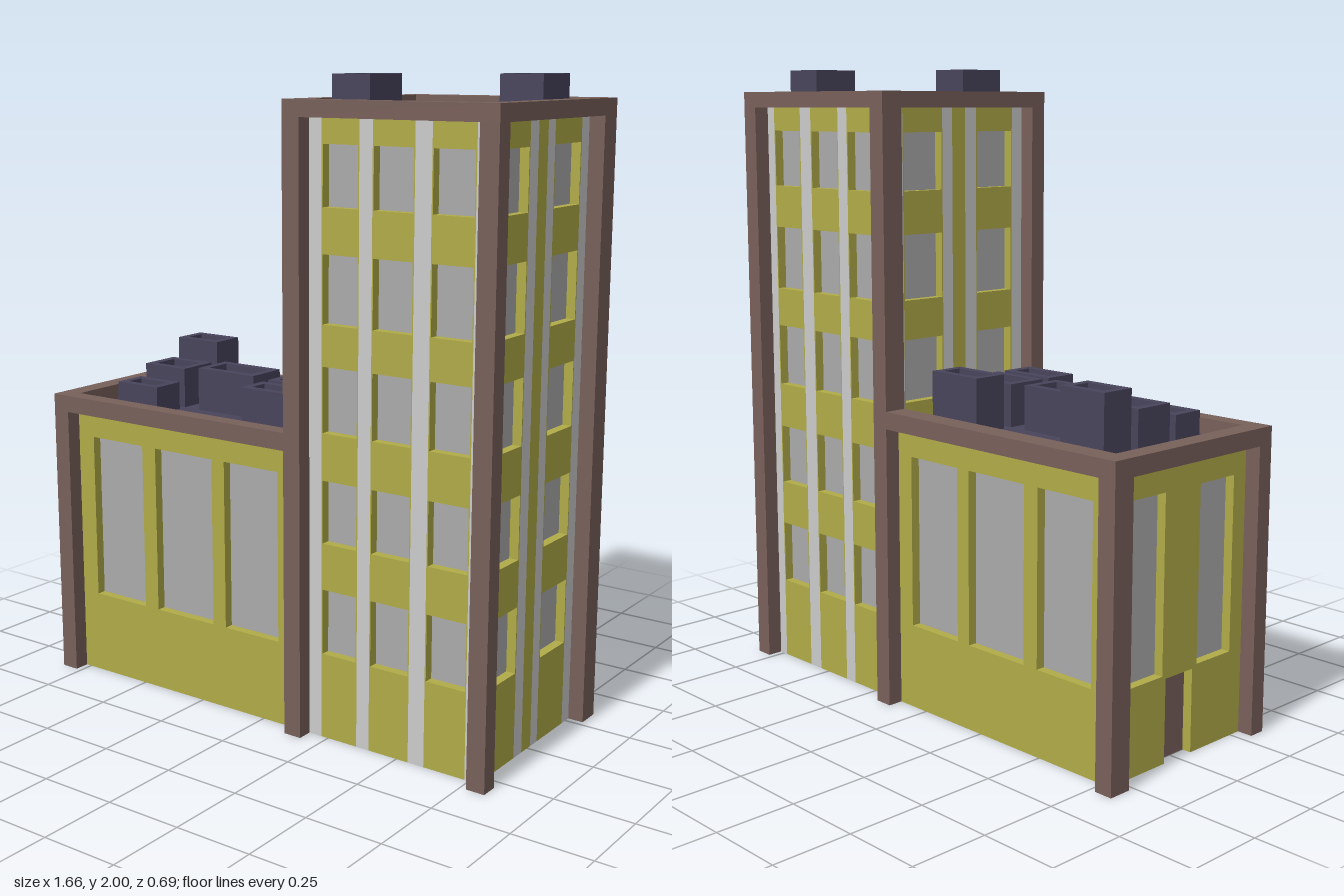
import * as THREE from 'three';

const paint = (color, side = THREE.FrontSide) =>
  new THREE.MeshStandardMaterial({ color, side, flatShading: true });

export function createModel() {
  const yellow = paint(0xb0ab48), brown = paint(0x78605a), slate = paint(0x48445c);
  const pale = paint(0xcccccc), glass = paint(0xaaaaaa, THREE.DoubleSide);
  const doorMat = paint(0x78605a, THREE.DoubleSide);
  const RECESS = 0.03;
  const model = new THREE.Group();
  model.name = 'building';

  function box(parent, name, mat, x0, x1, y0, y1, z0, z1) {
    const m = new THREE.Mesh(new THREE.BoxGeometry(x1 - x0, y1 - y0, z1 - z0), mat);
    m.position.set((x0 + x1) / 2, (y0 + y1) / 2, (z0 + z1) / 2);
    m.name = name;
    parent.add(m);
    return m;
  }

  const outline = (T, a0, a1, b0, b1) => new T([
    new THREE.Vector2(a0, b0), new THREE.Vector2(a1, b0),
    new THREE.Vector2(a1, b1), new THREE.Vector2(a0, b1)]);

  function pane(parent, name, mat, u0, u1, y0, y1) {
    const m = new THREE.Mesh(new THREE.PlaneGeometry(u1 - u0, y1 - y0), mat);
    m.position.set((u0 + u1) / 2, (y0 + y1) / 2, -RECESS);
    m.name = name;
    parent.add(m);
  }

  // Flat wall panel facing +z with recessed windows [u0, u1, y0, y1]
  function panel(parent, mat, u0, u1, y0, y1, windows = []) {
    const shape = outline(THREE.Shape, u0, u1, y0, y1);
    for (const w of windows) {
      shape.holes.push(outline(THREE.Path, ...w));
      pane(parent, 'window', glass, ...w);
    }
    const geo = new THREE.ExtrudeGeometry(shape, { depth: RECESS, bevelEnabled: false });
    geo.translate(0, 0, -RECESS);
    const m = new THREE.Mesh(geo, mat);
    m.name = 'wallPanel';
    parent.add(m);
  }

  function wallGroup(name, x, z, angle) {
    const g = new THREE.Group();
    g.name = name;
    g.position.set(x, 0, z);
    g.rotation.y = angle;
    model.add(g);
    return g;
  }

  // Tower walls: vertical bands alternate pale and yellow; wide yellow bands hold windows
  const rows = [[0.27, 0.475], [0.62, 0.815], [0.96, 1.16], [1.285, 1.49], [1.625, 1.805]];
  function bandedWall(g, edges, flip, y0, inset = 0.004) {
    for (let i = 0; i < edges.length - 1; i++) {
      let [a, b] = [edges[i], edges[i + 1]];
      if (flip) [a, b] = [-b, -a];
      const isYellow = i % 2 === 1;
      const holes = isYellow && b - a > 0.1
        ? rows.filter(r => r[0] > y0).map(r => [a + inset, b - inset, ...r]) : [];
      panel(g, isYellow ? yellow : pale, a, b, y0, 1.885, holes);
    }
  }
  const frontBands = [0.18, 0.225, 0.355, 0.40, 0.54, 0.595, 0.735, 0.77];
  const sideBands = [-0.27, -0.224, -0.06, -0.018, 0.037, 0.085, 0.245, 0.29];
  bandedWall(wallGroup('towerFrontWall', 0, 0.295, 0), frontBands, false, 0);
  bandedWall(wallGroup('towerBackWall', 0, -0.295, Math.PI), frontBands, true, 0);
  bandedWall(wallGroup('towerLeftWall', 0.78, 0, Math.PI / 2), sideBands, true, 0);
  bandedWall(wallGroup('towerRightWall', 0.17, 0, -Math.PI / 2), sideBands, false, 0.9);

  // Low wing walls with tall windows
  const tall = [[-0.705, -0.49], [-0.435, -0.20], [-0.15, 0.06]];
  const TALL_Y = [0.27, 0.815];
  panel(wallGroup('wingFrontWall', 0, 0.295, 0), yellow, -0.77, 0.12, 0, 0.9,
    tall.map(w => [...w, ...TALL_Y]));
  panel(wallGroup('wingBackWall', 0, -0.295, Math.PI), yellow, -0.12, 0.77, 0, 0.9,
    tall.map(([a, b]) => [-b, -a, ...TALL_Y]));

  // Wing end wall: two windows with a door between them
  const end = wallGroup('wingEndWall', -0.78, 0, -Math.PI / 2);
  panel(end, yellow, -0.27, -0.06, 0, 0.9, [[-0.215, -0.075, ...TALL_Y]]);
  panel(end, yellow, -0.06, 0.06, 0.26, 0.9);
  panel(end, yellow, 0.06, 0.29, 0, 0.9, [[0.08, 0.235, ...TALL_Y]]);
  pane(end, 'door', doorMat, -0.06, 0.06, 0, 0.26);

  // Corner posts
  const depths = [[0.29, 0.345], [-0.345, -0.27]];
  for (const [z0, z1] of depths) {
    box(model, 'towerPost', brown, 0.12, 0.18, 0, 1.885, z0, z1);
    box(model, 'towerPost', brown, 0.77, 0.83, 0, 1.885, z0, z1);
    box(model, 'wingPost', brown, -0.83, -0.77, 0, 0.9, z0, z1);
    // Long roof beams
    box(model, 'towerBeam', brown, 0.12, 0.83, 1.88, 1.93, z0, z1);
    box(model, 'wingBeam', brown, -0.83, 0.12, 0.9, 0.955, z0, z1);
  }
  // Short roof beams
  box(model, 'towerBeam', brown, 0.12, 0.18, 1.88, 1.93, -0.27, 0.29);
  box(model, 'towerBeam', brown, 0.77, 0.83, 1.88, 1.93, -0.27, 0.29);
  box(model, 'wingBeam', brown, -0.83, -0.765, 0.9, 0.955, -0.27, 0.29);

  // Roof decks
  box(model, 'towerRoof', slate, 0.18, 0.77, 1.87, 1.885, -0.27, 0.29);
  box(model, 'wingRoof', slate, -0.765, 0.17, 0.89, 0.905, -0.27, 0.29);

  // Roof vents: open-topped boxes
  function vent(x0, x1, z0, z1, y0, y1) {
    const g = new THREE.Group();
    g.name = 'roofVent';
    const t = 0.026, shape = outline(THREE.Shape, x0, x1, -z1, -z0);
    shape.holes.push(outline(THREE.Path, x0 + t, x1 - t, -z1 + t, -z0 - t));
    const geo = new THREE.ExtrudeGeometry(shape, { depth: y1 - y0, bevelEnabled: false });
    geo.rotateX(-Math.PI / 2);
    const rim = new THREE.Mesh(geo, slate);
    rim.position.y = y0;
    rim.name = 'ventRim';
    g.add(rim);
    box(g, 'ventFloor', slate, x0 + t, x1 - t, y0, y1 - 0.045, z0 + t, z1 - t);
    model.add(g);
  }
  const ventRows = [[-0.205, -0.09], [-0.06, 0.08], [0.107, 0.218]];
  const endTops = [1.10, 1.035, 0.995], innerTops = [1.075, 1.04, 1.04];
  ventRows.forEach(([z0, z1], i) => {
    vent(-0.66, -0.49, z0, z1, 0.905, endTops[i]);
    vent(-0.14, 0.06, z0, z1, 0.905, innerTops[i]);
  });
  vent(-0.43, -0.20, -0.06, 0.08, 0.905, 1.045);
  vent(0.225, 0.355, 0.08, 0.245, 1.885, 2.0);
  vent(0.595, 0.735, -0.225, -0.065, 1.885, 2.0);

  return model;
}
